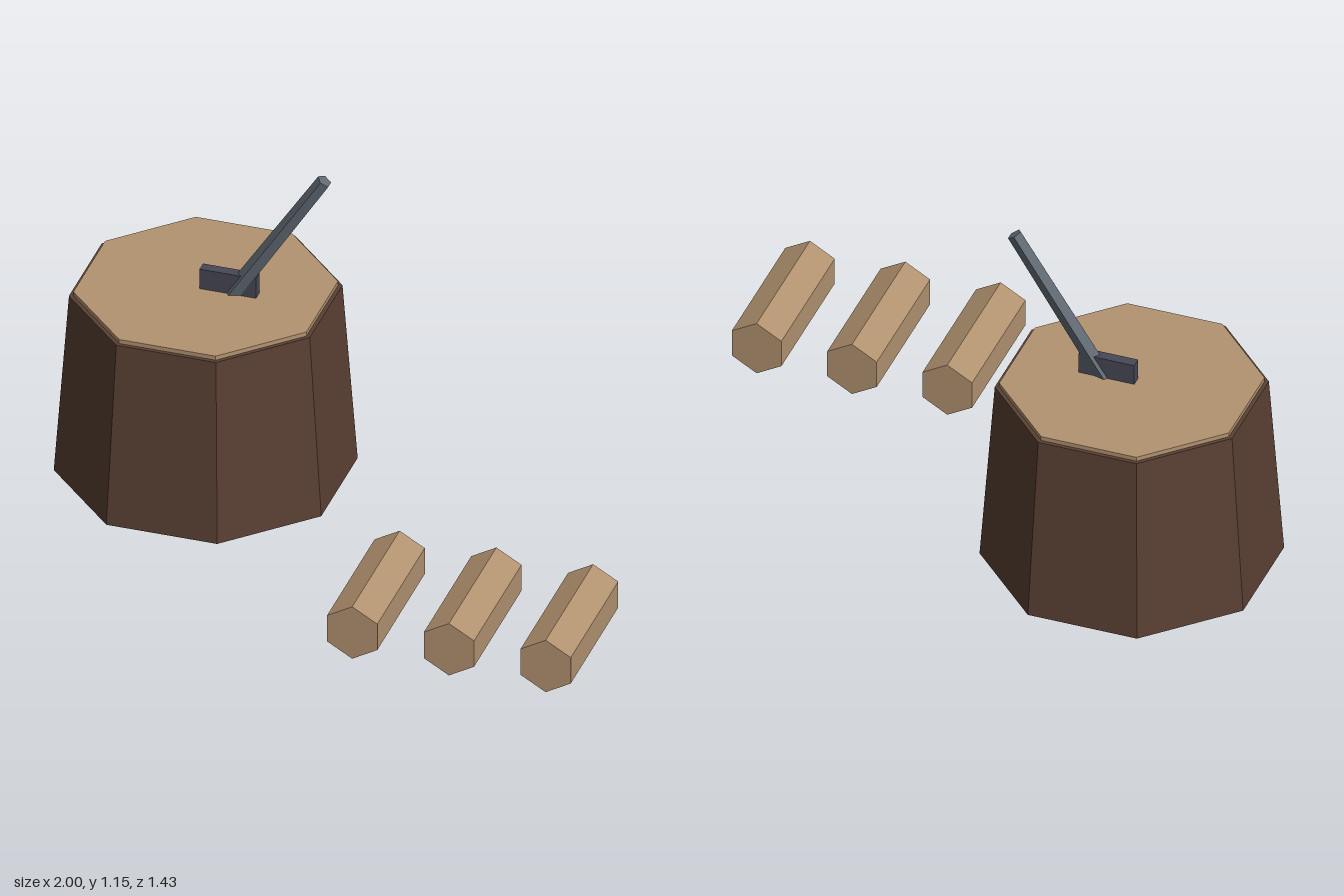
import * as THREE from 'three';

export function createModel() {
  const model = new THREE.Group();
  model.name = 'choppingBlock';

  const paint = (name, color) => {
    const m = new THREE.MeshStandardMaterial({ color, flatShading: true });
    m.name = name;
    return m;
  };
  const bark = paint('bark', 0x5a4033);
  const wood = paint('cutWood', 0xb39370);
  const steel = paint('darkSteel', 0x474857);
  const grip = paint('greyHandle', 0x616a74);

  const add = (name, geometry, material, x, y, z) => {
    const mesh = new THREE.Mesh(geometry, material);
    mesh.name = name;
    mesh.position.set(x, y, z);
    model.add(mesh);
    return mesh;
  };

  // Tapered octagonal stump with flats facing the axes
  const SX = -0.55, SZ = -0.265;
  const octagon = (topApothem, bottomApothem, height) => {
    const k = 1 / Math.cos(Math.PI / 8);
    return new THREE.CylinderGeometry(topApothem * k, bottomApothem * k, height, 8, 1, false, Math.PI / 8);
  };
  add('stump', octagon(0.405, 0.45, 0.652), bark, SX, 0.326, SZ);
  add('stumpTop', octagon(0.392, 0.392, 0.03), wood, SX, 0.652, SZ);

  // Axe head sunk into the stump
  add('axeHead', new THREE.BoxGeometry(0.19, 0.12, 0.036), steel, -0.47, 0.68, SZ);

  // Leaning five-sided handle, one edge turned up
  const lean = 0.57, length = 0.595;
  const handle = add('axeHandle',
    new THREE.CylinderGeometry(0.025, 0.03, length, 5, 1, false, -Math.PI / 2), grip,
    -0.15 - Math.sin(lean) * length / 2, 1.141 - Math.cos(lean) * length / 2, SZ);
  handle.rotation.z = -lean;

  // Row of hexagonal logs lying front to back
  const logGeometry = new THREE.CylinderGeometry(0.0975, 0.0975, 0.486, 6).rotateX(Math.PI / 2);
  for (let i = 0; i < 3; i++) {
    add(`log${i + 1}`, logGeometry, wood, 0.264 + i * 0.3255, 0.0975, 0.469);
  }

  return model;
}
